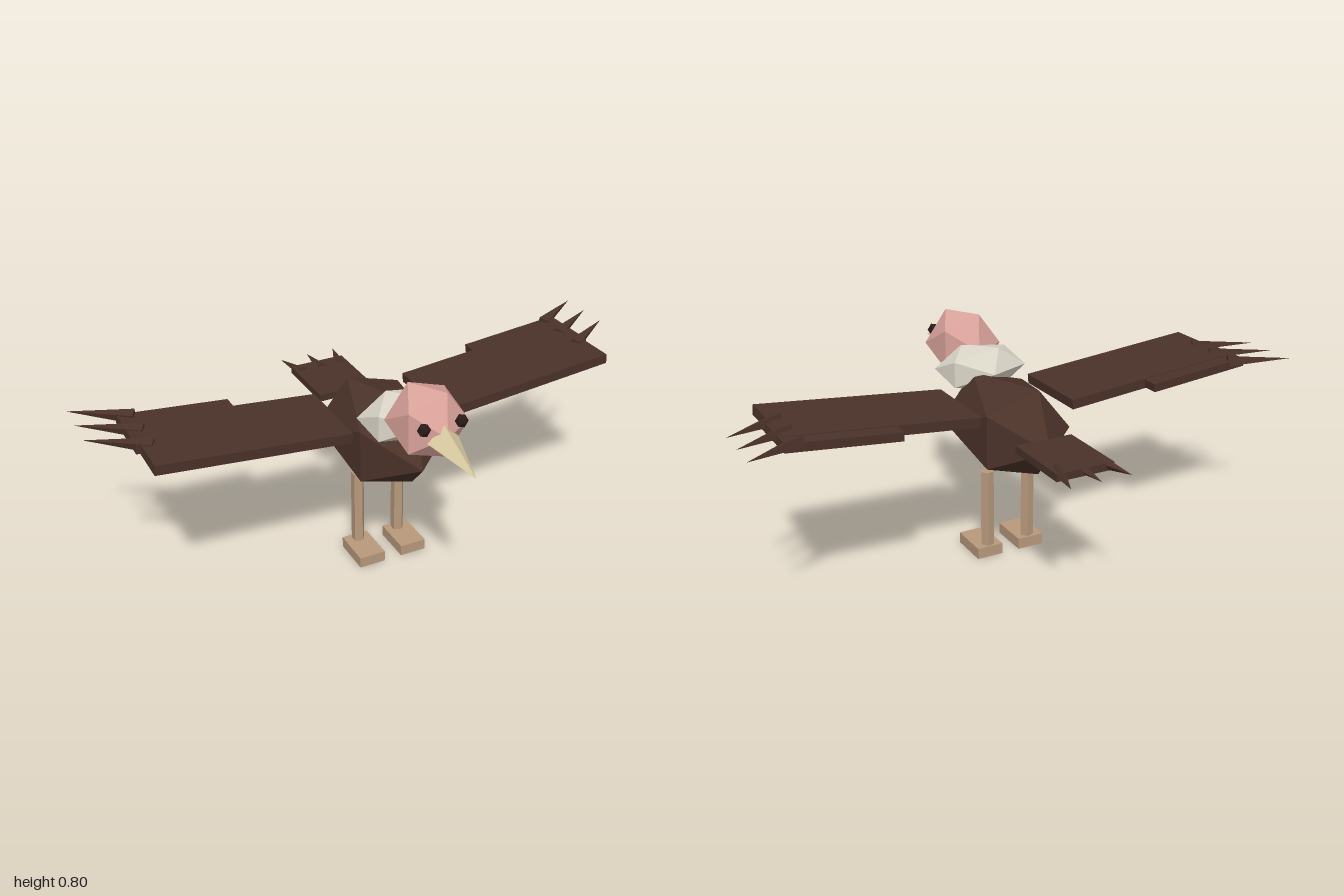
import * as THREE from 'three';

const mat = (name, color) => new THREE.MeshStandardMaterial({ name, color, flatShading: true });

export function createModel() {
  const brown = mat('dark brown plumage', 0x4a3229);
  const pink = mat('pink skin', 0xd9a29a);
  const cream = mat('cream ruff', 0xd9d4c6);
  const horn = mat('pale horn', 0xd8c9a0);
  const tan = mat('tan legs', 0xb8997c);
  const black = mat('eye black', 0x2a1a18);

  const bird = new THREE.Group();
  bird.name = 'bird';

  const add = (name, geometry, material, pos, parent = bird) => {
    const m = new THREE.Mesh(geometry, material);
    m.name = name;
    m.position.set(...pos);
    parent.add(m);
    return m;
  };

  // Faceted ball with its poles on the z axis
  const ball = (name, material, pos, radii) => {
    const g = new THREE.IcosahedronGeometry(1, 0);
    g.rotateX(Math.atan(2 / (1 + Math.sqrt(5))));
    g.rotateZ(Math.PI / 2);
    g.scale(...radii);
    g.computeVertexNormals();
    return add(name, g, material, pos);
  };

  // Pointed cone running from a base centre to a tip
  const spike = (name, material, base, tip, radius, sides = 4) => {
    const a = new THREE.Vector3(...base), b = new THREE.Vector3(...tip);
    const dir = b.clone().sub(a);
    const g = new THREE.ConeGeometry(radius, dir.length(), sides);
    const m = add(name, g, material, a.clone().add(b).multiplyScalar(0.5).toArray());
    m.quaternion.setFromUnitVectors(new THREE.Vector3(0, 1, 0), dir.normalize());
    return m;
  };

  // Body, ruff and head
  ball('body', brown, [0, 0.483, -0.007], [0.198, 0.18, 0.312]);
  ball('neckRuff', cream, [0, 0.635, 0.18], [0.173, 0.088, 0.113]);
  ball('head', pink, [0, 0.685, 0.32], [0.135, 0.135, 0.135]);
  spike('beak', horn, [0, 0.665, 0.425], [0, 0.635, 0.628], 0.056);

  // Tail with three feather points
  add('tail', new THREE.BoxGeometry(0.21, 0.026, 0.26), brown, [0, 0.502, -0.405]);
  for (const i of [-1, 0, 1]) {
    spike('tailFeather', brown, [i * 0.075, 0.507, -0.485], [i * 0.11, 0.504, -0.627], 0.024);
  }

  for (const s of [1, -1]) {
    const side = s > 0 ? 'left' : 'right';

    ball(side + 'Eye', black, [s * 0.067, 0.715, 0.423], [0.023, 0.025, 0.018]);

    // Wing: a main panel and a trailing outer panel, raised towards the tip
    const wing = new THREE.Group();
    wing.name = side + 'Wing';
    wing.position.set(s * 0.508, 0.602, 0);
    wing.rotation.z = s * 0.093;
    bird.add(wing);
    add('mainPanel', new THREE.BoxGeometry(0.668, 0.035, 0.31), brown, [0, 0, -0.012], wing);
    add('outerPanel', new THREE.BoxGeometry(0.385, 0.03, 0.225), brown, [s * 0.156, 0, -0.1125], wing);

    // Wing tip feathers
    for (let i = 0; i < 3; i++) {
      const z = -0.105 * i;
      spike(side + 'WingFeather', brown, [s * 0.8, 0.64, 0.005 + z], [s * 0.995, 0.653, -0.105 + z], 0.025);
    }

    // Five-sided leg and block foot
    const leg = new THREE.CylinderGeometry(0.024, 0.024, 0.285, 5);
    leg.rotateY(Math.PI / 2);
    add(side + 'Leg', leg, tan, [s * 0.08, 0.18, -0.022]);
    add(side + 'Foot', new THREE.BoxGeometry(0.097, 0.04, 0.148), tan, [s * 0.082, 0.02, 0.025]);
  }

  return bird;
}
